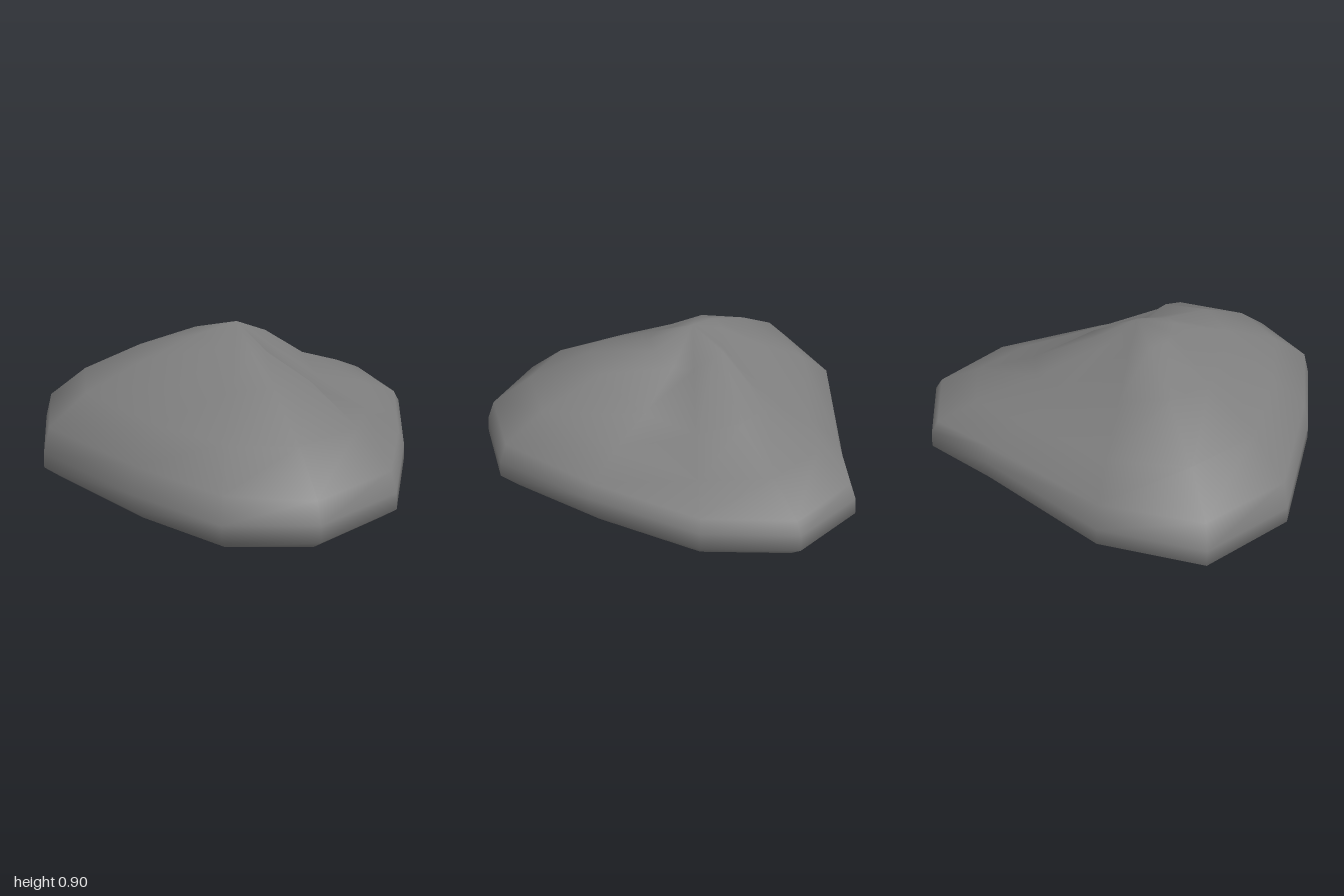
import * as THREE from 'three';

// Each spoke: rim x, rim z, then surface heights going inwards from rim to peak
const spokes = [
  [-0.66, -0.98, 0.44, 0.60, 0.75, 0.86],
  [-0.15, -0.965, 0.43, 0.56, 0.69, 0.84],
  [0.50, -0.63, 0.39, 0.49, 0.61, 0.80],
  [0.86, -0.47, 0.38, 0.48, 0.61, 0.81],
  [1.00, -0.08, 0.37, 0.47, 0.60, 0.80],
  [0.79, 0.33, 0.37, 0.45, 0.53, 0.74],
  [0.30, 0.69, 0.38, 0.48, 0.57, 0.73],
  [-0.20, 0.98, 0.41, 0.56, 0.71, 0.79],
  [-0.67, 0.91, 0.41, 0.57, 0.73, 0.81],
  [-0.95, 0.59, 0.43, 0.58, 0.71, 0.82],
  [-1.00, 0.08, 0.44, 0.58, 0.70, 0.82],
  [-0.97, -0.60, 0.44, 0.60, 0.74, 0.85],
];
const peak = [-0.12, 0.90, -0.07];
const base = [-0.02, 0, -0.07];

// Rings from underside to top: scale and a fixed height, or a spoke height column
const rings = [
  { s: 0.22, y: 0.015, c: base },
  { s: 0.48, y: 0.055, c: base },
  { s: 0.81, y: 0.11, c: base },
  { s: 0.92, y: 0.16, c: base },
  { s: 1.0, y: 0.23, c: base },
  { s: 0.995, y: 0.31, c: peak },
  { s: 0.96, col: 2, c: peak },
  { s: 0.77, col: 3, c: peak },
  { s: 0.48, col: 4, c: peak },
  { s: 0.2, col: 5, c: peak },
];

function boulderGeometry() {
  const n = spokes.length, positions = [], index = [];
  for (const { s, y, col, c } of rings) {
    for (const p of spokes) {
      positions.push(c[0] + (p[0] - c[0]) * s, col ? p[col] : y, c[2] + (p[1] - c[2]) * s);
    }
  }
  const bottom = n * rings.length, top = bottom + 1;
  positions.push(...base, ...peak);
  const last = (rings.length - 1) * n;
  for (let k = 0; k < n; k++) {
    const k1 = (k + 1) % n;
    index.push(k, k1, bottom, last + k1, last + k, top);
    for (let r = 0; r < rings.length - 1; r++) {
      const a = r * n + k, b = r * n + k1;
      index.push(b, a, a + n, b, a + n, b + n);
    }
  }
  const geometry = new THREE.BufferGeometry();
  geometry.setAttribute('position', new THREE.Float32BufferAttribute(positions, 3));
  geometry.setIndex(index);
  geometry.computeVertexNormals();
  return geometry;
}

export function createModel() {
  const group = new THREE.Group();
  group.name = 'rock';
  const stone = new THREE.MeshStandardMaterial({ color: 0x7f7f7f });
  stone.name = 'grey stone';
  const boulder = new THREE.Mesh(boulderGeometry(), stone);
  boulder.name = 'boulder';
  group.add(boulder);
  return group;
}
